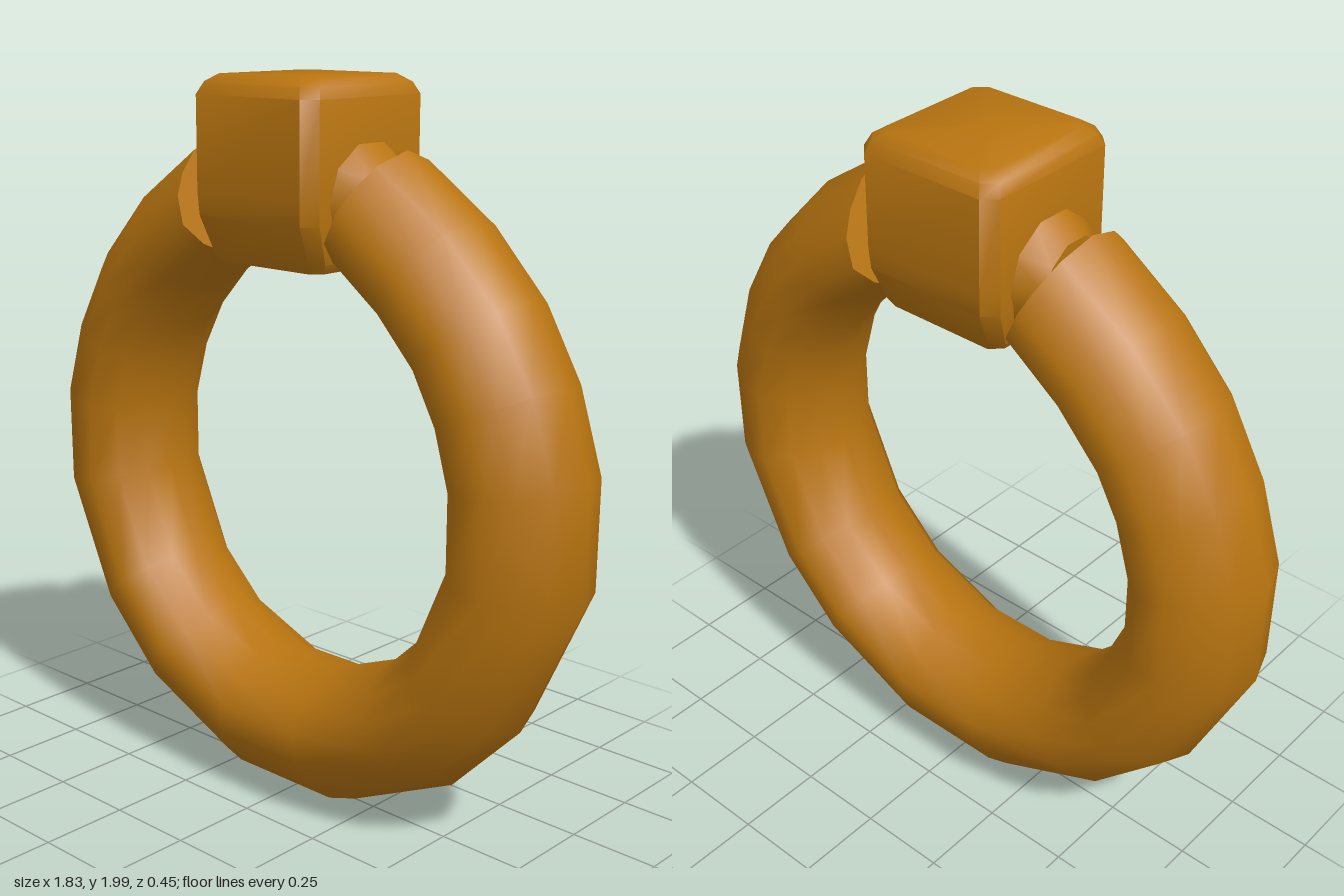
import * as THREE from 'three';
import { toCreasedNormals } from 'three/addons/utils/BufferGeometryUtils.js';

// Skin a series of equal-length cross-section loops and close both ends
function skin(loops, crease) {
  const n = loops[0].length, pos = loops.flat(2), idx = [];
  for (let i = 0; i < loops.length - 1; i++) {
    for (let j = 0; j < n; j++) {
      const k = (j + 1) % n, a = i * n + j, b = i * n + k;
      idx.push(a, b, b + n, a, b + n, a + n);
    }
  }
  [0, loops.length - 1].forEach((li) => {
    const c = pos.length / 3;
    for (let d = 0; d < 3; d++) pos.push(loops[li].reduce((s, p) => s + p[d], 0) / n);
    for (let j = 0; j < n; j++) {
      const a = li * n + j, b = li * n + (j + 1) % n;
      if (li) idx.push(c, a, b); else idx.push(c, b, a);
    }
  });
  const g = new THREE.BufferGeometry();
  g.setAttribute('position', new THREE.Float32BufferAttribute(pos, 3));
  g.setIndex(idx);
  return toCreasedNormals(g, crease);
}

export function createModel() {
  const group = new THREE.Group();
  const bronze = new THREE.MeshStandardMaterial({ color: 0xb87410 });
  bronze.name = 'bronze';
  const add = (name, geometry) => {
    const m = new THREE.Mesh(geometry, bronze);
    m.name = name;
    group.add(m);
    return m;
  };

  // Open band: stations of [degrees from top, outer radius, inner radius]
  const half = [[21, 0.943, 0.6], [37.5, 0.92, 0.575], [53, 0.914, 0.57], [67, 0.914, 0.565],
    [82, 0.924, 0.565], [101, 0.93, 0.57], [127, 0.925, 0.575], [146, 0.937, 0.575], [169, 0.955, 0.57]];
  const stations = [...half, ...half.slice().reverse().map(([a, o, i]) => [360 - a, o, i])];
  // Half section: [fraction from outer to inner edge, half depth]
  const side = [[0.1, 0.1], [0.27, 0.165], [0.45, 0.205], [0.68, 0.214], [0.85, 0.16], [0.96, 0.08]];
  const section = [[0, 0], ...side, [1, 0], ...side.slice().reverse().map(([u, z]) => [u, -z])];
  add('band', skin(stations.map(([deg, outer, inner]) => {
    const t = deg * Math.PI / 180;
    return section.map(([u, z]) => {
      const r = outer + (inner - outer) * u;
      return [r * Math.sin(t), 0.945 + r * Math.cos(t), z];
    });
  }), 0.9));

  // Block: chamfered rectangles of [y, half width, half depth, chamfer]
  const layers = [[1.515, 0.185, 0.165, 0.03], [1.54, 0.2, 0.18, 0.03], [1.64, 0.215, 0.222, 0.035],
    [1.7, 0.218, 0.226, 0.035], [1.95, 0.218, 0.226, 0.035], [1.98, 0.205, 0.21, 0.035], [2, 0.175, 0.18, 0.03]];
  add('block', skin(layers.map(([y, w, d, c]) => [
    [w, y, d - c], [w, y, -d + c], [w - c, y, -d], [-w + c, y, -d],
    [-w, y, -d + c], [-w, y, d - c], [-w + c, y, d], [w - c, y, d],
  ]), 0.75));

  // Tapered collars joining the block to the band ends
  for (const s of [1, -1]) {
    const g = new THREE.CylinderGeometry(0.11, 0.17, 0.1, 10);
    g.rotateZ(-s * Math.PI / 2);
    const collar = add(s > 0 ? 'leftCollar' : 'rightCollar', toCreasedNormals(g, 0.7));
    collar.position.set(s * 0.24, 1.69, 0);
  }
  return group;
}
